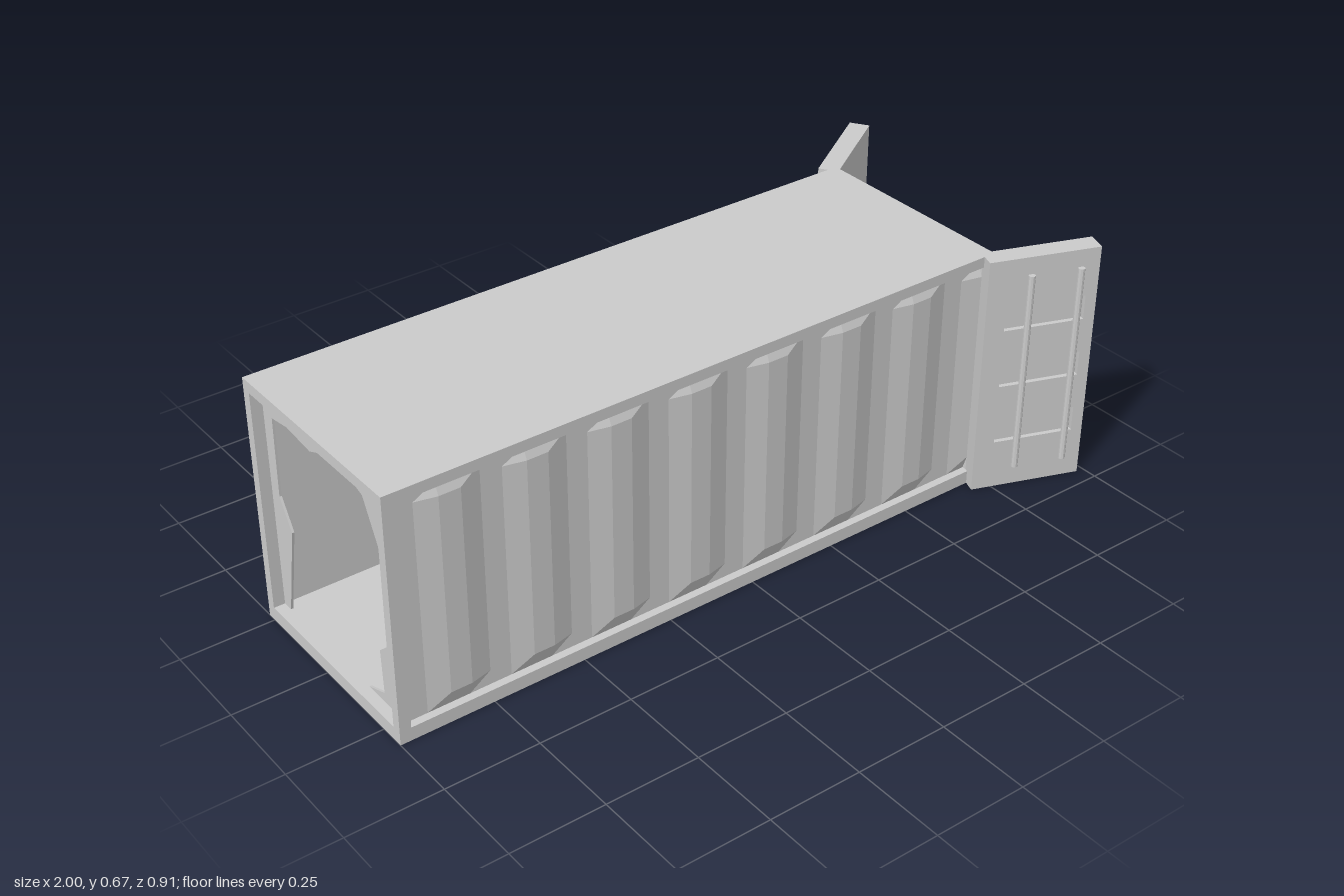
import * as THREE from 'three';

const mat = new THREE.MeshStandardMaterial({ color: 0xcccccc, flatShading: true });
const sheetMat = new THREE.MeshStandardMaterial({ color: 0xcccccc, flatShading: true, side: THREE.DoubleSide });

// Container body limits
const X0 = -1, X1 = 0.745, Z0 = -0.275, Z1 = 0.32, H = 0.665;
const FLOOR = 0.036, ROOF = 0.636, WALL = 0.026, POST = 0.03;

function add(parent, name, geometry, x = 0, y = 0, z = 0, material = mat) {
  const mesh = new THREE.Mesh(geometry, material);
  mesh.name = name;
  mesh.position.set(x, y, z);
  parent.add(mesh);
  return mesh;
}

// Box given by its two opposite corners
function block(parent, name, a, b) {
  const s = b.map((v, i) => v - a[i]);
  return add(parent, name, new THREE.BoxGeometry(...s), ...a.map((v, i) => v + s[i] / 2));
}

// Corrugated sheet whose trapezoid ribs fade out at the top and bottom rails
function corrugatedGeometry(x0, x1, depth) {
  const step = 0.0557;
  const columns = Math.round((x1 - x0) / step);
  const rows = [FLOOR, 0.075, 0.605, ROOF];
  const rib = [0, 0, 1, 1];
  const geo = new THREE.PlaneGeometry(1, 1, columns, rows.length - 1);
  const p = geo.attributes.position;
  for (let i = 0; i < p.count; i++) {
    const c = i % (columns + 1), r = Math.floor(i / (columns + 1));
    const inner = r > 0 && r < rows.length - 1;
    p.setXYZ(i, x0 + (x1 - x0) * c / columns, rows[rows.length - 1 - r], inner ? depth * rib[c % 4] : 0);
  }
  geo.computeVertexNormals();
  return geo;
}

// Door leaf: hinge edge at x = 0, outer face at z = 0, centred in y
function makeDoor(name) {
  const door = new THREE.Group();
  door.name = name;
  const W = 0.298, T = 0.055, POCKET = 0.012;
  block(door, 'doorSlab', [0, -H / 2, -T], [W, H / 2, -POCKET]);

  // Outer skin with three recessed pockets
  const skin = new THREE.Shape();
  skin.moveTo(0, -H / 2).lineTo(W, -H / 2).lineTo(W, H / 2).lineTo(0, H / 2).closePath();
  for (const y of [-0.163, 0.003, 0.166]) {
    const hole = new THREE.Path();
    hole.moveTo(0.053, y - 0.034).lineTo(0.053, y + 0.034).lineTo(0.268, y + 0.034).lineTo(0.268, y - 0.034).closePath();
    skin.holes.push(hole);
  }
  add(door, 'doorSkin', new THREE.ExtrudeGeometry(skin, { depth: POCKET, bevelEnabled: false }), 0, 0, -POCKET);

  // Vertical locking rods
  for (const x of [0.113, 0.246]) {
    add(door, 'lockingRod', new THREE.CylinderGeometry(0.009, 0.009, 0.56, 10), x, 0.004, 0.006);
  }
  return door;
}

export function createModel() {
  const model = new THREE.Group();
  model.name = 'shippingContainer';

  // Floor, roof and corner posts
  block(model, 'floor', [X0, 0, Z0], [X1, FLOOR, Z1]);
  block(model, 'roof', [X0, ROOF, Z0], [X1, H, Z1]);
  for (const [x0, x1] of [[X0, X0 + POST], [X1 - POST, X1]]) {
    for (const z of [Z0, Z1 - WALL]) {
      block(model, 'cornerPost', [x0, FLOOR, z], [x1, ROOF, z + WALL]);
    }
  }

  // Side walls: flat inner lining and corrugated outer sheet
  const xa = X0 + POST, xb = X1 - POST;
  for (const side of [1, -1]) {
    const inner = side > 0 ? Z1 - WALL : Z0 + WALL;
    const zs = [inner, inner + side * 0.003].sort((a, b) => a - b);
    block(model, 'wallLining', [xa, FLOOR, zs[0]], [xb, ROOF, zs[1]]);
    add(model, 'corrugatedWall', corrugatedGeometry(xa, xb, side * 0.013), 0, 0, inner + side * 0.005, sheetMat);
  }

  // End wall with a ragged hole, drawn as (z, y) and open at the floor
  const za = Z0 + WALL, zb = Z1 - WALL;
  const outline = [
    [zb, FLOOR], [zb, ROOF], [za, ROOF], [za, FLOOR],
    [-0.22, FLOOR], [-0.17, 0.285], [-0.215, 0.362], [-0.21, 0.578], [-0.14, 0.589], [-0.04, 0.578],
    [0.025, 0.605], [0.115, 0.608], [0.185, 0.585], [0.237, 0.48], [0.26, 0.23], [0.205, 0.18],
    [0.21, 0.062], [0.14, FLOOR],
  ];
  const endShape = new THREE.Shape(outline.map(([z, y]) => new THREE.Vector2(-z, y)));
  const endWall = add(model, 'brokenEndWall',
    new THREE.ExtrudeGeometry(endShape, { depth: 0.006, bevelEnabled: false }), X0 + POST, 0, 0);
  endWall.rotation.y = Math.PI / 2;

  // Open doors, the far one turned over so its outer face points back
  const frontDoor = makeDoor('frontDoor');
  frontDoor.position.set(0.7, H / 2, 0.351);
  frontDoor.rotation.y = -THREE.MathUtils.degToRad(20.4);
  const backDoor = makeDoor('backDoor');
  backDoor.position.set(0.703, H / 2, -0.297);
  backDoor.rotation.set(Math.PI, -THREE.MathUtils.degToRad(33), 0);
  model.add(frontDoor, backDoor);

  return model;
}
